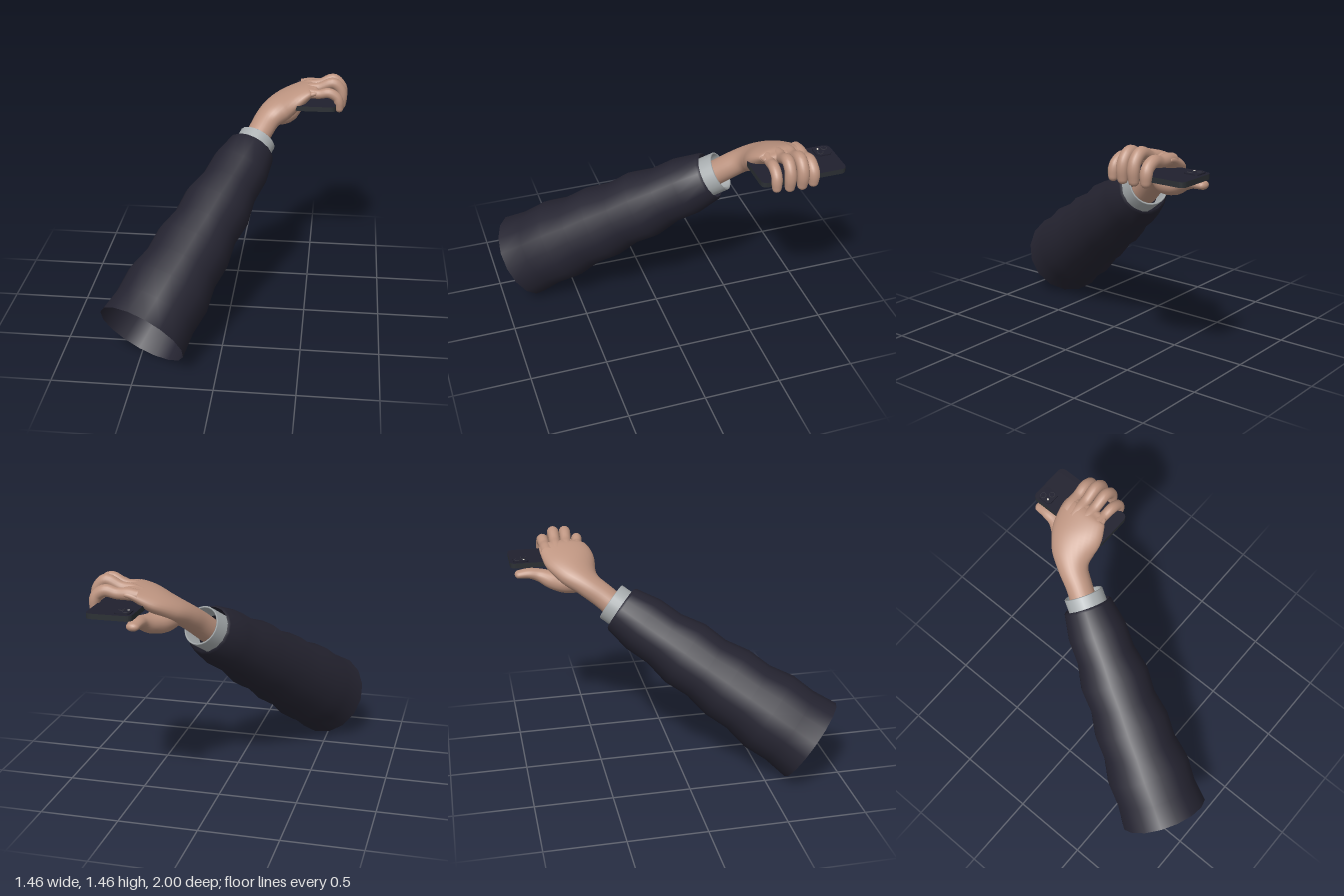
import * as THREE from 'three';

const mat = (name, color, side = THREE.FrontSide) => {
  const m = new THREE.MeshStandardMaterial({ color, side });
  m.name = name;
  return m;
};

// Smooth limb through elliptical sections [x, y, z, halfWidth, halfThickness, yaw of the width axis], rounded at its end
function loft(sections, steps = 28, sides = 20) {
  const path = new THREE.CatmullRomCurve3(sections.map(s => new THREE.Vector3(s[0], s[1], s[2])), false, 'catmullrom');
  const size = new THREE.CatmullRomCurve3(sections.map(s => new THREE.Vector3(s[3], s[4], s[5] || 0)), false, 'catmullrom');
  const pos = [], index = [];
  const ring = (c, tangent, w, t, yaw) => {
    const side = new THREE.Vector3(Math.sin(yaw), 0, Math.cos(yaw));
    side.addScaledVector(tangent, -side.dot(tangent)).normalize();
    const normal = new THREE.Vector3().crossVectors(tangent, side);
    for (let j = 0; j < sides; j++) {
      const a = j / sides * Math.PI * 2;
      const p = c.clone().addScaledVector(side, Math.cos(a) * w).addScaledVector(normal, Math.sin(a) * t);
      pos.push(p.x, p.y, p.z);
    }
  };
  for (let i = 0; i <= steps; i++) {
    const s = size.getPoint(i / steps);
    ring(path.getPoint(i / steps), path.getTangent(i / steps), s.x, s.y, s.z);
  }
  const end = path.getPoint(1), dir = path.getTangent(1), last = size.getPoint(1);
  for (let k = 1; k <= 5; k++) {
    const a = k / 5 * Math.PI / 2, f = Math.max(Math.cos(a), 0.01);
    ring(end.clone().addScaledVector(dir, Math.sin(a) * last.y), dir, last.x * f, last.y * f, last.z);
  }
  const rings = steps + 6;
  for (let i = 0; i < rings - 1; i++) {
    for (let j = 0; j < sides; j++) {
      const a = i * sides + j, b = i * sides + (j + 1) % sides;
      index.push(a, b, a + sides, b, b + sides, a + sides);
    }
  }
  const g = new THREE.BufferGeometry();
  g.setAttribute('position', new THREE.Float32BufferAttribute(pos, 3));
  g.setIndex(index);
  g.computeVertexNormals();
  return g;
}

// Horizontal rounded plate between two x, two z and two y values
function plate(x0, x1, z0, z1, y0, y1, r) {
  const s = new THREE.Shape(), a = -z1, b = -z0;
  s.moveTo(x0 + r, a);
  s.lineTo(x1 - r, a).quadraticCurveTo(x1, a, x1, a + r);
  s.lineTo(x1, b - r).quadraticCurveTo(x1, b, x1 - r, b);
  s.lineTo(x0 + r, b).quadraticCurveTo(x0, b, x0, b - r);
  s.lineTo(x0, a + r).quadraticCurveTo(x0, a, x0 + r, a);
  const g = new THREE.ExtrudeGeometry(s, { depth: y1 - y0, bevelEnabled: false, curveSegments: 6 });
  return g.rotateX(-Math.PI / 2).translate(0, y0, 0);
}

export function createModel() {
  const model = new THREE.Group();
  model.name = 'armHoldingPhone';
  const cloth = mat('navyCloth', 0x252431, THREE.DoubleSide);
  const shirt = mat('greyCuff', 0xa9aeb0, THREE.DoubleSide);
  const skin = mat('skin', 0xbd9480);
  const phoneBack = mat('phoneBack', 0x20202e);
  const phoneEdge = mat('phoneEdge', 0x2b2f33);
  const glass = mat('screenGlass', 0x4a626c);
  const lensRing = mat('lensRing', 0x34343f);
  const flashWhite = mat('flashWhite', 0xd8d4c8);
  const add = (parent, name, geometry, material) => {
    const m = new THREE.Mesh(geometry, material);
    m.name = name;
    parent.add(m);
    return m;
  };

  // Sleeve and cuff turn around the forearm axis
  const forearm = new THREE.Group();
  forearm.name = 'forearm';
  const start = new THREE.Vector3(-0.463, 0.245, 0.81);
  const axis = new THREE.Vector3(0.105, 1.03, -0.315).sub(start);
  const length = axis.length();
  forearm.position.copy(start);
  forearm.quaternion.setFromUnitVectors(new THREE.Vector3(0, 1, 0), axis.normalize());
  model.add(forearm);
  const radii = [0.291, 0.272, 0.28, 0.247, 0.252, 0.22, 0.229, 0.193, 0.194, 0.162];
  const sleeve = radii.map((r, i) => new THREE.Vector2(r, i / 9 * length));
  sleeve.push(new THREE.Vector2(0.148, length + 0.015));
  add(forearm, 'sleeve', new THREE.LatheGeometry(sleeve, 16), cloth);
  const cuff = [[0.128, -0.06], [0.128, 0.09], [0.122, 0.094], [0.115, 0.09], [0.11, -0.04]]
    .map(([r, y]) => new THREE.Vector2(r, length + y));
  add(forearm, 'cuff', new THREE.LatheGeometry(cuff, 24), shirt);

  // Hand: wrist and palm, thumb, then four fingers curled over the phone
  const hand = new THREE.Group();
  hand.name = 'hand';
  model.add(hand);
  add(hand, 'palm', loft([
    [0.085, 1.01, -0.31, 0.085, 0.08, 0.98],
    [0.15, 1.11, -0.425, 0.085, 0.078, 0.95],
    [0.2, 1.18, -0.515, 0.097, 0.076, 0.8],
    [0.27, 1.235, -0.575, 0.138, 0.08, 0.5],
    [0.36, 1.3, -0.615, 0.167, 0.07, 0.18],
    [0.45, 1.352, -0.647, 0.157, 0.048, 0.05],
    [0.5, 1.362, -0.652, 0.145, 0.036, 0],
  ], 32, 28), skin);
  add(hand, 'thumb', loft([
    [0.24, 1.19, -0.54, 0.06, 0.06, 1.2],
    [0.3, 1.178, -0.64, 0.085, 0.075, 1.4],
    [0.345, 1.182, -0.73, 0.072, 0.062, 1.5],
    [0.375, 1.208, -0.81, 0.052, 0.044, 1.57],
    [0.382, 1.225, -0.88, 0.047, 0.034, 1.57],
    [0.383, 1.222, -0.95, 0.04, 0.026, 1.57],
  ]), skin);
  // Each finger: base z, tip z, knuckle rise, reach, thickness
  [
    ['indexFinger', -0.755, -0.766, -0.035, -0.012, 0.038],
    ['middleFinger', -0.69, -0.69, 0.008, 0.004, 0.038],
    ['ringFinger', -0.622, -0.61, 0.006, 0.003, 0.037],
    ['littleFinger', -0.555, -0.532, -0.038, -0.018, 0.034],
  ].forEach(([name, zBase, zTip, rise, reach, r]) => {
    const z = f => zBase + (zTip - zBase) * f;
    add(hand, name, loft([
      [0.41, 1.352, z(0), r, r * 0.9],
      [0.47, 1.366 + rise * 0.2, z(0.2), r * 1.05, r],
      [0.54, 1.376 + rise * 0.5, z(0.5), r * 0.95, r * 0.92],
      [0.62 + reach, 1.408 + rise, z(0.8), r, r],
      [0.672 + reach, 1.375 + rise * 0.8, z(0.9), r * 0.98, r * 0.95],
      [0.69 + reach, 1.325 + rise * 0.4, z(1), r, r * 0.92],
      [0.688 + reach * 0.6, 1.266, z(1), r * 0.85, r * 0.8],
    ], 28, 16), skin);
  });

  // Phone lying flat, screen underneath
  const phone = new THREE.Group();
  phone.name = 'phone';
  model.add(phone);
  add(phone, 'phoneBody', plate(0.375, 0.655, -1, -0.45, 1.266, 1.299, 0.04), [phoneBack, phoneEdge]);
  add(phone, 'screen', plate(0.385, 0.645, -0.99, -0.46, 1.263, 1.267, 0.033), glass);
  add(phone, 'cameraPlate', plate(0.392, 0.488, -0.978, -0.878, 1.298, 1.307, 0.025), phoneBack);
  [[0.42, -0.95], [0.458, -0.91]].forEach(([x, z]) => {
    const ring = add(phone, 'lensRing', new THREE.CylinderGeometry(0.019, 0.019, 0.006, 20), lensRing);
    ring.position.set(x, 1.309, z);
    const lens = add(phone, 'lens', new THREE.CylinderGeometry(0.016, 0.016, 0.006, 20), phoneBack);
    lens.position.set(x, 1.31, z);
  });
  const flash = add(phone, 'flash', new THREE.CylinderGeometry(0.007, 0.007, 0.004, 12), flashWhite);
  flash.position.set(0.417, 1.308, -0.91);

  return model;
}
